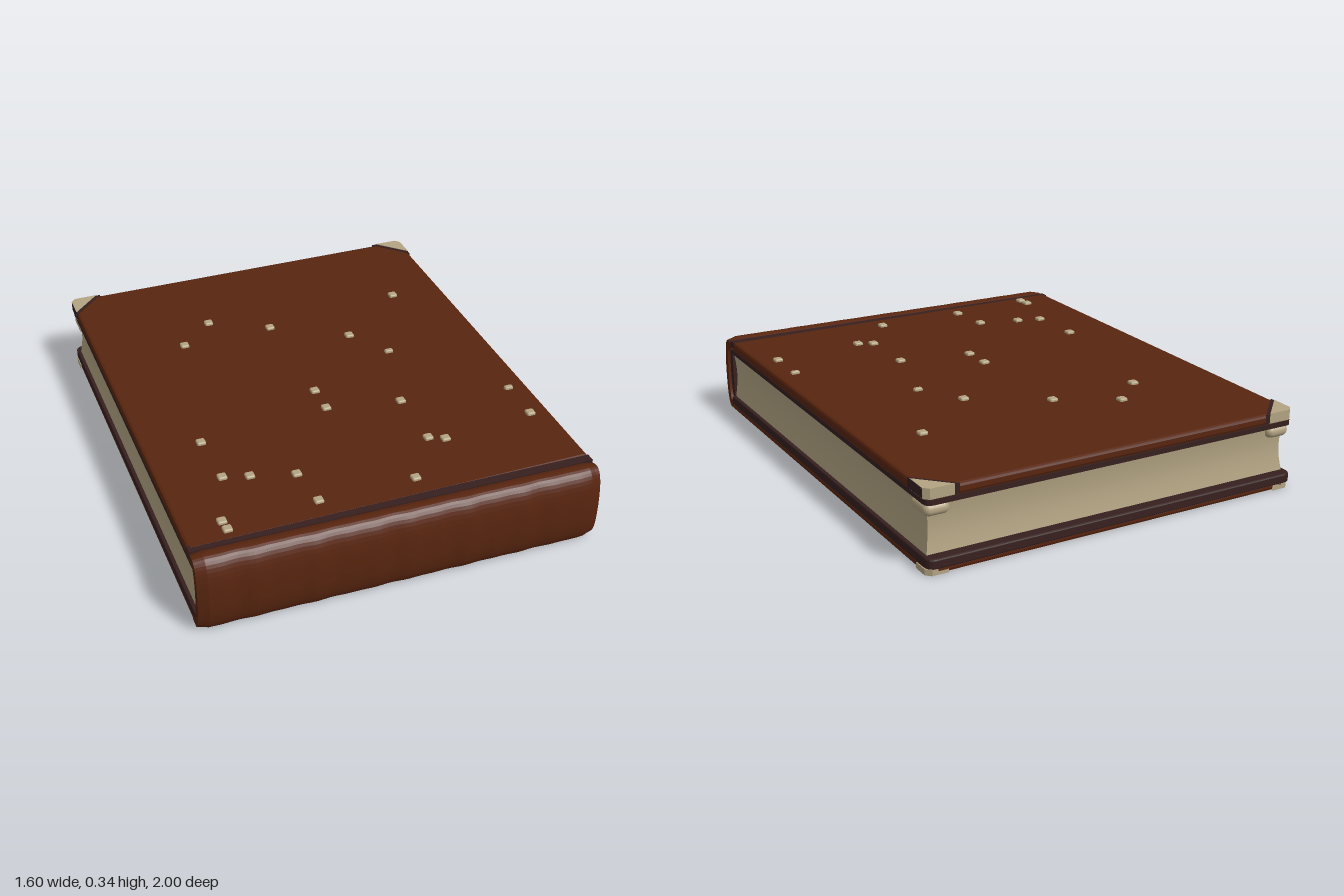
import * as THREE from 'three';
import { RoundedBoxGeometry } from 'three/addons/geometries/RoundedBoxGeometry.js';

const mat = (name, color, side = THREE.FrontSide) => {
  const m = new THREE.MeshStandardMaterial({ color, side });
  m.name = name;
  return m;
};

export function createModel() {
  const leather = mat('brown leather', 0x58250f);
  const edging = mat('dark plum edging', 0x36201f);
  const paper = mat('aged paper', 0xb3a483);
  const book = new THREE.Group();
  book.name = 'book';

  const add = (parent, name, geometry, material, x = 0, y = 0, z = 0) => {
    const mesh = new THREE.Mesh(geometry, material);
    mesh.name = name;
    mesh.position.set(x, y, z);
    parent.add(mesh);
    return mesh;
  };

  // Moves every vertex by a rule
  const deform = (geometry, rule) => {
    const p = geometry.attributes.position, v = new THREE.Vector3();
    for (let i = 0; i < p.count; i++) {
      v.fromBufferAttribute(p, i);
      rule(v);
      p.setXYZ(i, v.x, v.y, v.z);
    }
    geometry.computeVertexNormals();
    return geometry;
  };

  // Flat board with clipped fore-edge corners, from y0 to y1
  const board = (halfX, back, front, y0, y1, clip, bevel) => {
    const w = halfX - bevel, b = -back - bevel, f = -front + bevel;
    const shape = new THREE.Shape();
    shape.moveTo(-w, f);
    shape.lineTo(w, f);
    shape.lineTo(w, b - clip);
    shape.quadraticCurveTo(w, b, w - clip, b);
    shape.lineTo(-w + clip, b);
    shape.quadraticCurveTo(-w, b, -w, b - clip);
    const g = new THREE.ExtrudeGeometry(shape, {
      depth: y1 - y0 - 2 * bevel, bevelEnabled: bevel > 0, bevelThickness: bevel,
      bevelSize: bevel, bevelSegments: 2, curveSegments: 4,
    });
    return g.rotateX(-Math.PI / 2).translate(0, y0 + bevel, 0);
  };

  // Triangular corner piece, right angle at the fore-edge corner
  const cornerPiece = (side, back, leg, y0, y1) => {
    const shape = new THREE.Shape();
    const x = side * 0.801, b = -back, c = 0.02;
    shape.moveTo(x, b - leg);
    shape.lineTo(x, b - c);
    shape.lineTo(x - side * c, b);
    shape.lineTo(x - side * leg, b);
    const g = new THREE.ExtrudeGeometry(shape, { depth: y1 - y0, bevelEnabled: false });
    return g.rotateX(-Math.PI / 2).translate(0, y0, 0);
  };

  // Page block with slightly hollow open sides
  const pages = new THREE.BoxGeometry(1.57, 0.215, 1.87, 1, 8, 1);
  deform(pages, (v) => {
    const hollow = 0.012 * Math.cos((v.y / 0.215) * Math.PI);
    v.x -= Math.sign(v.x) * hollow;
    if (v.z < 0) v.z += hollow;
  });
  add(book, 'pages', pages, paper, 0, 0.178, -0.02);

  // Top cover, sinking a little toward the fore edge
  const topCover = new THREE.Group();
  topCover.name = 'topCover';
  topCover.rotation.x = -0.005;
  add(topCover, 'topBoard', board(0.8, -0.98, 0.87, 0.294, 0.337, 0.03, 0.012), leather);
  add(topCover, 'topEdging', board(0.797, -0.982, 0.9, 0.276, 0.296, 0.03, 0), edging);
  book.add(topCover);

  // Bottom cover
  const bottomCover = new THREE.Group();
  bottomCover.name = 'bottomCover';
  add(bottomCover, 'bottomBoard', board(0.798, -0.99, 0.92, 0.012, 0.045, 0.03, 0.012), leather);
  add(bottomCover, 'bottomEdging', board(0.8, -1.0, 0.92, 0.036, 0.075, 0.03, 0.006), edging);
  book.add(bottomCover);

  // Corner pieces on both covers, and bulging folds under the top corners
  for (const side of [-1, 1]) {
    const label = side > 0 ? 'left' : 'right';
    add(topCover, label + 'TopCornerTrim', cornerPiece(side, -0.981, 0.135, 0.3, 0.3385), edging);
    add(topCover, label + 'TopCorner', cornerPiece(side, -0.9815, 0.115, 0.299, 0.3405), paper);
    add(bottomCover, label + 'BottomCorner', cornerPiece(side, -0.99, 0.085, 0.0105, 0.034), paper);
    add(book, label + 'CornerFold', new RoundedBoxGeometry(0.1, 0.05, 0.125, 4, 0.024),
      paper, side * 0.745, 0.246, -0.912);
  }

  // Rounded spine shell: section in z and y, run along x with shallow ripples
  const section = new THREE.Shape();
  section.moveTo(0.89, 0.336);
  section.quadraticCurveTo(0.91, 0.348, 0.935, 0.344);
  section.bezierCurveTo(0.97, 0.335, 0.984, 0.28, 0.984, 0.18);
  section.bezierCurveTo(0.984, 0.08, 0.97, 0.025, 0.935, 0.012);
  section.lineTo(0.89, 0.014);
  section.lineTo(0.89, 0.045);
  section.lineTo(0.925, 0.05);
  section.quadraticCurveTo(0.95, 0.08, 0.95, 0.18);
  section.quadraticCurveTo(0.95, 0.28, 0.925, 0.305);
  section.lineTo(0.89, 0.305);
  const spine = new THREE.ExtrudeGeometry(section, {
    depth: 1.6, steps: 80, bevelEnabled: false, curveSegments: 10,
  });
  spine.rotateY(-Math.PI / 2).translate(0.8, 0, 0);
  const skew = (v) => { v.z += 0.014 * v.x; };
  deform(spine, (v) => {
    const ripple = 0.0018 * (Math.sin(v.x * 31) + Math.sin(v.x * 53 + 1));
    const end = Math.max(0, Math.abs(v.x) - 0.76) * 0.35;
    const reach = Math.max(0, v.z - 0.9) / 0.08;
    v.z += (ripple - end) * reach;
    v.y -= (v.y - 0.18) * end * 4;
    skew(v);
  });
  add(book, 'spine', spine, leather);

  // Dark lining between spine and pages
  add(book, 'spineLining', deform(new THREE.BoxGeometry(1.575, 0.262, 0.04), skew),
    edging, 0, 0.177, 0.93);

  // Dark hinge strip along the top joint
  add(book, 'hingeStrip', deform(new THREE.BoxGeometry(1.6, 0.03, 0.036, 10, 1, 1), skew),
    edging, 0, 0.326, 0.872);

  // Small pale studs scattered on the top cover: x, z
  const studs = [
    [-0.28, -0.57], [-0.43, -0.43], [-0.04, -0.44], [0.57, -0.51], [0.26, -0.26],
    [0.37, -0.08], [-0.03, 0.09], [-0.03, 0.22], [-0.57, 0.27], [0.27, 0.28],
    [0.72, 0.35], [0.72, 0.54], [-0.56, 0.51], [-0.46, 0.54], [-0.29, 0.59],
    [0.27, 0.55], [0.33, 0.58], [-0.64, 0.76], [-0.635, 0.81], [-0.27, 0.77], [0.12, 0.77],
  ];
  const studGeometry = new RoundedBoxGeometry(0.036, 0.02, 0.036, 2, 0.007);
  studs.forEach(([x, z], i) => {
    const stud = add(topCover, 'stud' + (i + 1), studGeometry, paper, x, 0.339, z);
    if (i === 5 || i === 10) stud.scale.z = 0.6;
  });

  return book;
}
